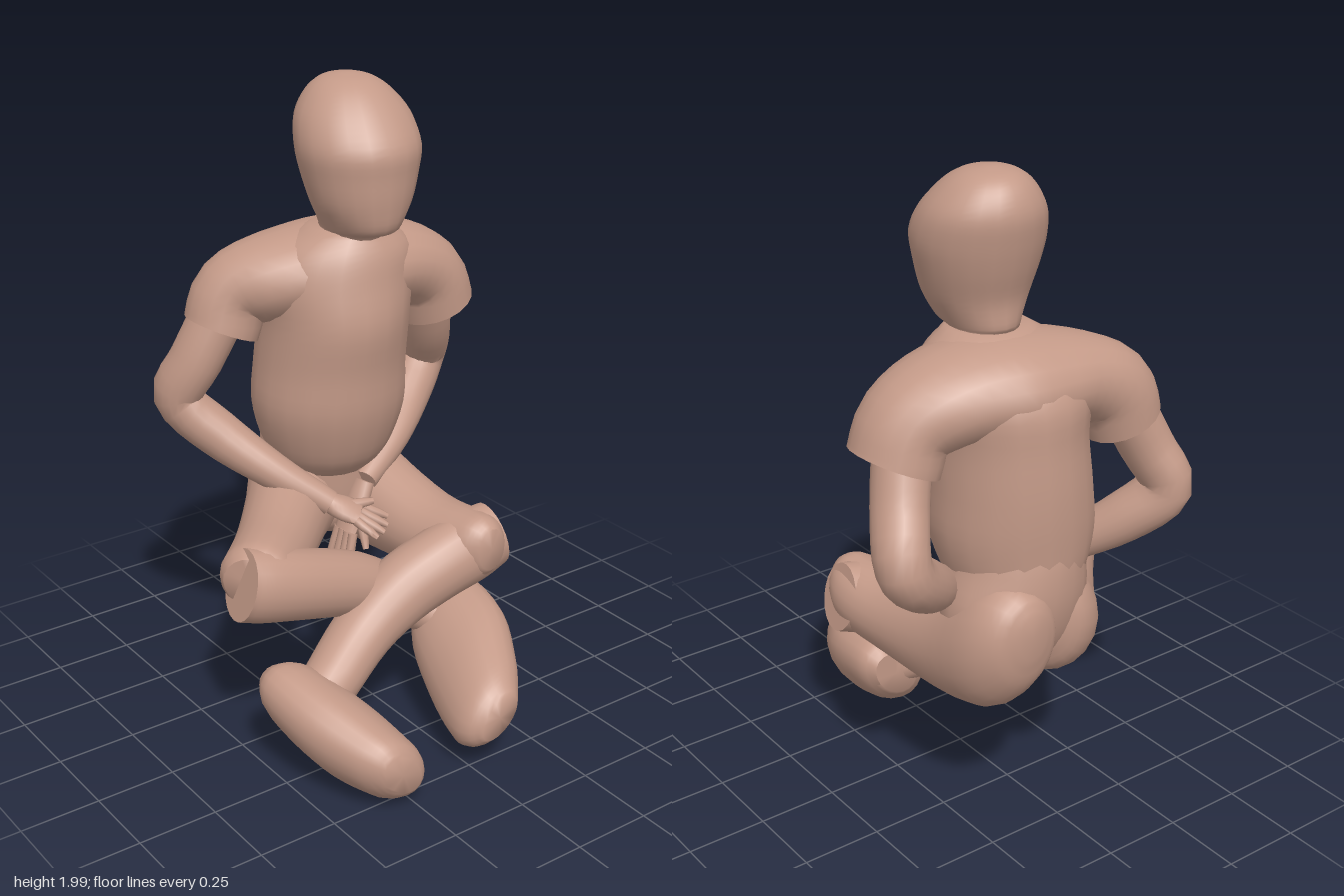
import * as THREE from 'three';
import { toCreasedNormals } from 'three/addons/utils/BufferGeometryUtils.js';

const material = new THREE.MeshStandardMaterial({ color: 0xc49a88, roughness: 0.9 });

// Smooth skin through oval rings. Row: [x, y, z, half width along w, half depth across it].
// Rings face along the path, or along a fixed axis if one is given.
function loft(rows, w, axis, sides = 20, steps = 4) {
  const path = new THREE.CatmullRomCurve3(rows.map(r => new THREE.Vector3(r[0], r[1], r[2])), false, 'catmullrom', 0.5);
  const size = new THREE.CatmullRomCurve3(rows.map(r => new THREE.Vector3(r[3], r[4], 0)), false, 'catmullrom', 0.5);
  const n = (rows.length - 1) * steps, pos = [], idx = [], wide = new THREE.Vector3(...w);
  for (let i = 0; i <= n; i++) {
    const c = path.getPoint(i / n), s = size.getPoint(i / n);
    const t = axis ? new THREE.Vector3(...axis).normalize() : path.getTangent(i / n);
    const u = wide.clone().addScaledVector(t, -t.dot(wide)).normalize();
    const v = new THREE.Vector3().crossVectors(t, u);
    for (let j = 0; j < sides; j++) {
      const a = j / sides * Math.PI * 2;
      const p = c.clone().addScaledVector(u, Math.cos(a) * s.x).addScaledVector(v, Math.sin(a) * s.y);
      pos.push(p.x, p.y, p.z);
    }
  }
  for (let i = 0; i < n; i++) {
    for (let j = 0; j < sides; j++) {
      const a = i * sides + j, b = i * sides + (j + 1) % sides;
      idx.push(a, b, b + sides, a, b + sides, a + sides);
    }
  }
  // end caps
  const start = pos.length / 3;
  pos.push(...rows[0].slice(0, 3), ...rows[rows.length - 1].slice(0, 3));
  for (let j = 0; j < sides; j++) {
    const k = (j + 1) % sides;
    idx.push(start, k, j, start + 1, n * sides + j, n * sides + k);
  }
  const g = new THREE.BufferGeometry();
  g.setAttribute('position', new THREE.Float32BufferAttribute(pos, 3));
  g.setIndex(idx);
  return toCreasedNormals(g, 1.0);
}

// Palm, four fingers and a thumb, fanned along the spread direction.
function hand(name, wrist, knuckle, tip, spread, thumbTip) {
  const group = new THREE.Group();
  group.name = name;
  const add = (part, rows, sides, steps) => {
    const m = new THREE.Mesh(loft(rows, spread, null, sides, steps), material);
    m.name = part;
    group.add(m);
  };
  const mix = (a, b, t) => a.map((v, i) => v + (b[i] - v) * t);
  const shift = (p, d) => p.map((v, i) => v + spread[i] * d);
  add('palm', [[...wrist, 0.038, 0.032], [...mix(wrist, knuckle, 0.5), 0.052, 0.03], [...knuckle, 0.05, 0.022]], 12, 3);
  for (let f = 0; f < 4; f++) {
    const d = (f - 1.5) * 0.026, end = mix(knuckle, tip, f === 1 || f === 2 ? 1 : 0.88);
    const a = shift(knuckle, d), b = shift(end, d * 1.5);
    add('finger', [[...a, 0.015, 0.015], [...mix(a, b, 0.6), 0.014, 0.014], [...b, 0.009, 0.009]], 8, 2);
  }
  const root = mix(wrist, knuckle, 0.35);
  add('thumb', [[...root, 0.02, 0.02], [...mix(root, thumbTip, 0.6), 0.017, 0.017], [...thumbTip, 0.01, 0.01]], 8, 2);
  return group;
}

export function createModel() {
  const figure = new THREE.Group();
  figure.name = 'seatedFigure';
  const add = (name, w, axis, rows) => {
    const m = new THREE.Mesh(loft(rows, w, axis), material);
    m.name = name;
    figure.add(m);
  };
  const up = [0, 1, 0], down = [0, -1, 0], front = [0, 0, 1];

  // Head with neck, chin pushed forward
  add('head', [1, 0, 0.1], up, [
    [0.07, 1.44, -0.23, 0.10, 0.10], [0.07, 1.53, -0.20, 0.10, 0.12], [0.07, 1.555, -0.17, 0.11, 0.16],
    [0.07, 1.63, -0.16, 0.15, 0.17], [0.073, 1.72, -0.17, 0.177, 0.187], [0.075, 1.80, -0.18, 0.19, 0.197],
    [0.08, 1.88, -0.21, 0.175, 0.177], [0.08, 1.945, -0.23, 0.13, 0.135], [0.08, 1.982, -0.24, 0.08, 0.085],
    [0.08, 1.997, -0.245, 0.02, 0.02]]);

  // Shirt body, turned a little to the figure's right
  add('torso', [1, 0, 0.2], up, [
    [0.04, 0.73, -0.31, 0.14, 0.14], [0.045, 0.80, -0.32, 0.20, 0.21], [0.045, 0.95, -0.305, 0.245, 0.245],
    [0.05, 1.10, -0.30, 0.24, 0.255], [0.055, 1.25, -0.285, 0.235, 0.262], [0.06, 1.38, -0.29, 0.25, 0.245],
    [0.07, 1.47, -0.265, 0.22, 0.20], [0.07, 1.54, -0.22, 0.12, 0.12]]);

  // Shoulders and both sleeves in one sweep, hem to hem
  add('shouldersAndSleeves', front, null, [
    [-0.285, 1.225, -0.40, 0.12, 0.12], [-0.24, 1.33, -0.395, 0.125, 0.125], [-0.12, 1.38, -0.345, 0.18, 0.13],
    [0.07, 1.39, -0.295, 0.232, 0.15], [0.25, 1.38, -0.27, 0.195, 0.135],
    [0.37, 1.32, -0.25, 0.155, 0.13], [0.415, 1.215, -0.25, 0.15, 0.13]]);

  // Waist and hips; the buttocks are the rounded backs of the thighs
  add('pelvis', [1, 0, 0], down, [
    [0.05, 0.98, -0.34, 0.19, 0.19], [0.06, 0.88, -0.35, 0.205, 0.20], [0.075, 0.76, -0.36, 0.23, 0.19],
    [0.08, 0.64, -0.35, 0.22, 0.17], [0.08, 0.54, -0.33, 0.18, 0.13], [0.08, 0.49, -0.32, 0.10, 0.07]]);

  // Arms, bent at the elbow with forearms meeting in the lap
  add('leftArm', front, null, [
    [0.39, 1.27, -0.26, 0.09, 0.085], [0.445, 1.11, -0.32, 0.09, 0.08], [0.49, 0.97, -0.40, 0.085, 0.08],
    [0.39, 0.865, -0.35, 0.085, 0.08], [0.25, 0.775, -0.25, 0.065, 0.06], [0.09, 0.69, -0.17, 0.042, 0.04]]);
  add('rightArm', front, null, [
    [-0.28, 1.29, -0.40, 0.085, 0.085], [-0.36, 1.13, -0.43, 0.09, 0.08], [-0.405, 1.0, -0.475, 0.09, 0.075],
    [-0.32, 0.885, -0.39, 0.08, 0.075], [-0.20, 0.77, -0.25, 0.06, 0.058], [-0.07, 0.67, -0.13, 0.04, 0.04]]);
  figure.add(hand('leftHand', [0.09, 0.69, -0.17], [0.01, 0.54, -0.16], [-0.04, 0.35, -0.16], [0, 0, 1], [0.04, 0.49, -0.09]));
  figure.add(hand('rightHand', [-0.07, 0.67, -0.13], [0.0, 0.635, -0.07], [0.06, 0.59, -0.01], [0.75, 0.2, -0.6], [0.06, 0.66, -0.08]));

  // Left leg: thigh forward, shin crossing in front
  add('leftThigh', [1, 0, 0], front, [
    [0.17, 0.72, -0.575, 0.05, 0.07], [0.175, 0.69, -0.54, 0.115, 0.15], [0.19, 0.645, -0.44, 0.145, 0.205],
    [0.20, 0.58, -0.25, 0.14, 0.17], [0.22, 0.55, 0.0, 0.13, 0.125],
    [0.24, 0.555, 0.16, 0.115, 0.12], [0.245, 0.57, 0.24, 0.09, 0.105], [0.25, 0.58, 0.285, 0.05, 0.07]]);
  add('leftShin', front, null, [
    [0.335, 0.572, 0.18, 0.09, 0.11], [0.25, 0.55, 0.175, 0.105, 0.118], [0.13, 0.512, 0.16, 0.11, 0.115],
    [0.0, 0.45, 0.14, 0.11, 0.11], [-0.15, 0.36, 0.15, 0.10, 0.095], [-0.33, 0.25, 0.21, 0.09, 0.085]]);
  add('leftFoot', [0.7, -0.7, 0], front, [
    [-0.43, 0.26, 0.11, 0.08, 0.06], [-0.405, 0.235, 0.18, 0.145, 0.10], [-0.355, 0.17, 0.35, 0.18, 0.115],
    [-0.32, 0.14, 0.49, 0.15, 0.10], [-0.31, 0.14, 0.55, 0.115, 0.08], [-0.31, 0.14, 0.58, 0.08, 0.05]]);

  // Right leg: thigh opened outward, shin tucked behind the left one
  add('rightThigh', [0.66, 0, 0.75], [-0.75, 0, 0.66], [
    [0.06, 0.68, -0.47, 0.06, 0.08], [0.03, 0.67, -0.44, 0.13, 0.16], [-0.04, 0.64, -0.37, 0.16, 0.185],
    [-0.15, 0.61, -0.26, 0.14, 0.15], [-0.30, 0.60, -0.10, 0.125, 0.125],
    [-0.42, 0.605, 0.02, 0.12, 0.12], [-0.47, 0.61, 0.065, 0.115, 0.11], [-0.505, 0.615, 0.09, 0.085, 0.08]]);
  add('rightShin', front, null, [
    [-0.53, 0.612, 0.075, 0.09, 0.112], [-0.45, 0.59, 0.08, 0.10, 0.115], [-0.32, 0.55, 0.075, 0.105, 0.11],
    [-0.10, 0.47, 0.05, 0.105, 0.10], [0.05, 0.38, 0.05, 0.09, 0.08], [0.17, 0.30, 0.14, 0.08, 0.07]]);
  add('rightFoot', [0.7, 0.7, 0], front, [
    [0.215, 0.315, 0.05, 0.09, 0.06], [0.195, 0.295, 0.12, 0.15, 0.10], [0.15, 0.245, 0.30, 0.18, 0.11],
    [0.085, 0.20, 0.46, 0.155, 0.10], [0.06, 0.19, 0.53, 0.12, 0.08], [0.06, 0.19, 0.57, 0.08, 0.05]]);

  return figure;
}
